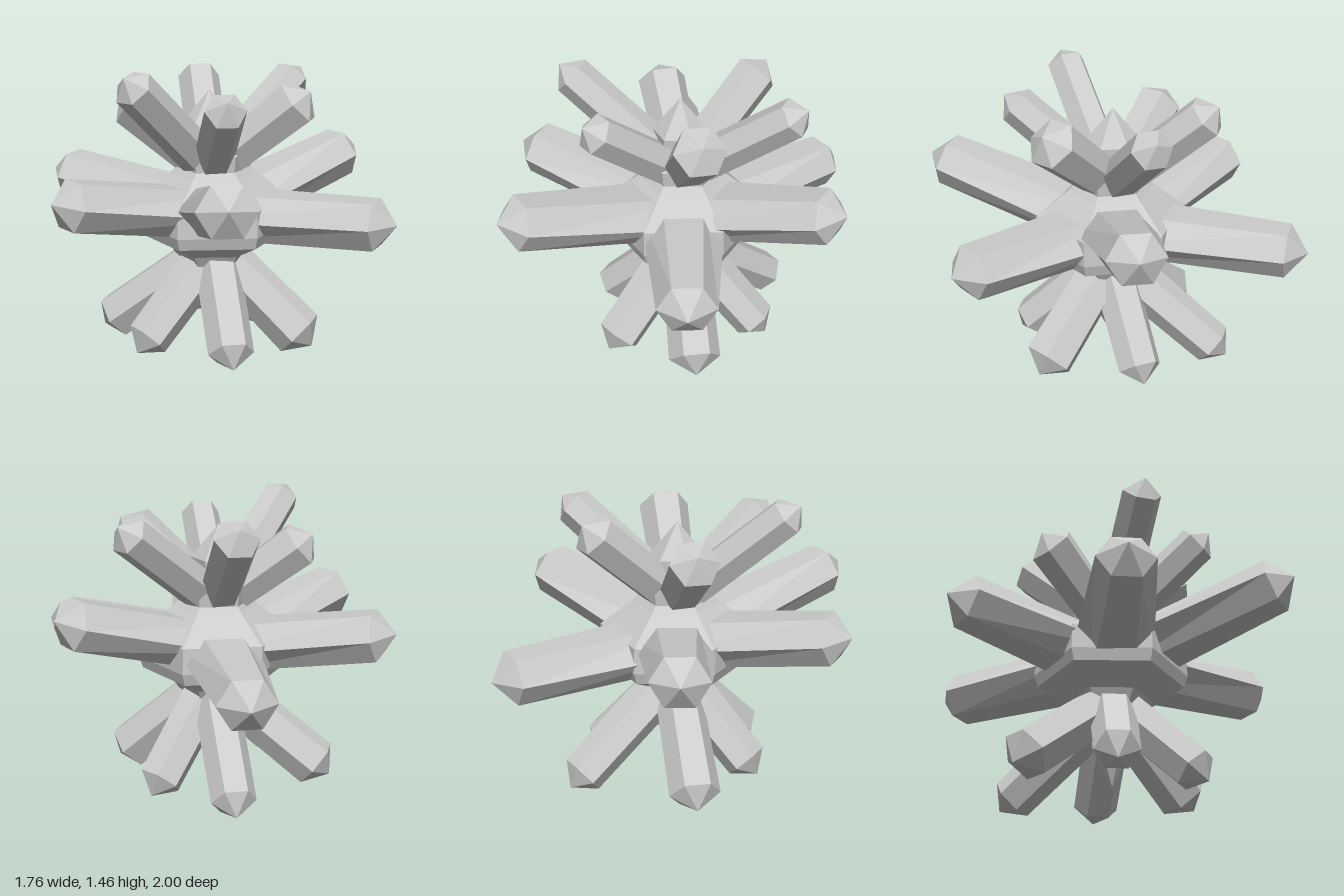
import * as THREE from 'three';

const material = new THREE.MeshStandardMaterial({ color: 0xcccccc, flatShading: true });

// Six-sided solid turned around y from [radius, height] pairs
function hexSolid(name, profile, phi = Math.PI / 6) {
  const pts = profile.map(([r, y]) => new THREE.Vector2(r, y));
  const mesh = new THREE.Mesh(new THREE.LatheGeometry(pts, 6, phi), material);
  mesh.name = name;
  return mesh;
}

// Hexagonal crystal from a base point to a pointed tip, flat side up;
// flare widens it sideways towards the base
function crystal(name, base, tip, r0, r1, cap, flare = 0) {
  const start = new THREE.Vector3(...base);
  const dir = new THREE.Vector3(...tip).sub(start);
  const length = dir.length();
  dir.normalize();
  const side = new THREE.Vector3(0, 1, 0).cross(dir).normalize();
  const up = new THREE.Vector3().crossVectors(side, dir);
  const mesh = hexSolid(name, [[0, 0], [r0, 0], [r1, length - cap], [0, length]]);
  const pos = mesh.geometry.attributes.position;
  for (let i = 0; i < pos.count; i++) {
    pos.setX(i, pos.getX(i) * (1 + flare * (1 - pos.getY(i) / length)));
  }
  mesh.quaternion.setFromRotationMatrix(new THREE.Matrix4().makeBasis(side, dir, up));
  mesh.position.copy(start);
  return mesh;
}

export function createModel() {
  const group = new THREE.Group();
  group.name = 'crystalCluster';

  // Faceted core with necks to the upper and lower clusters
  const core = hexSolid('core', [
    [0, 0.36], [0.14, 0.41], [0.21, 0.52], [0.37, 0.6], [0.39, 0.66],
    [0.385, 0.79], [0.22, 0.92], [0.19, 0.95], [0.2, 1.03], [0, 1.12],
  ], Math.PI / 5);
  core.position.x = -0.01;
  group.add(core);

  // Short central spikes above and below
  const topSpike = hexSolid('topSpike', [[0.12, 0.95], [0.14, 1.17], [0, 1.34]]);
  topSpike.position.x = -0.03;
  const bottomSpike = hexSolid('bottomSpike', [[0, 0.07], [0.1, 0.27], [0.12, 0.5]]);
  group.add(topSpike, bottomSpike);

  // Ring of six large crystals
  [
    [-0.16, 0.7, -1], [0.74, 0.97, -0.5], [0.88, 0.75, 0.39],
    [0.1, 0.97, 1], [-0.73, 0.89, 0.6], [-0.88, 0.86, -0.34],
  ].forEach((tip) => group.add(crystal('middleCrystal', [-0.01, 0.71, 0], tip, 0.135, 0.133, 0.1, 0.62)));

  // Upper crown of six crystals: tip, radius
  [
    [[-0.4, 1.46, 0.48], 0.1], [[0.08, 1.36, 0.55], 0.1], [[0.47, 1.35, 0.12], 0.128],
    [[0.44, 1.4, -0.44], 0.1], [[-0.12, 1.4, -0.52], 0.11], [[-0.49, 1.3, -0.09], 0.122],
  ].forEach(([tip, r]) => group.add(crystal('upperCrystal', [-0.02, 0.93, 0], tip, 0.105, r, 0.08)));

  // Lower six crystals that the cluster stands on: tip, radius
  [
    [[0.11, 0.04, 0.48], 0.115], [[-0.38, 0.05, 0.3], 0.11], [[-0.6, 0.05, -0.13], 0.128],
    [[-0.11, 0.03, -0.62], 0.112], [[0.31, 0.02, -0.34], 0.112], [[0.5, 0.05, 0.16], 0.132],
  ].forEach(([tip, r]) => group.add(crystal('lowerCrystal', [0, 0.52, 0], tip, 0.12, r, 0.09)));

  return group;
}
